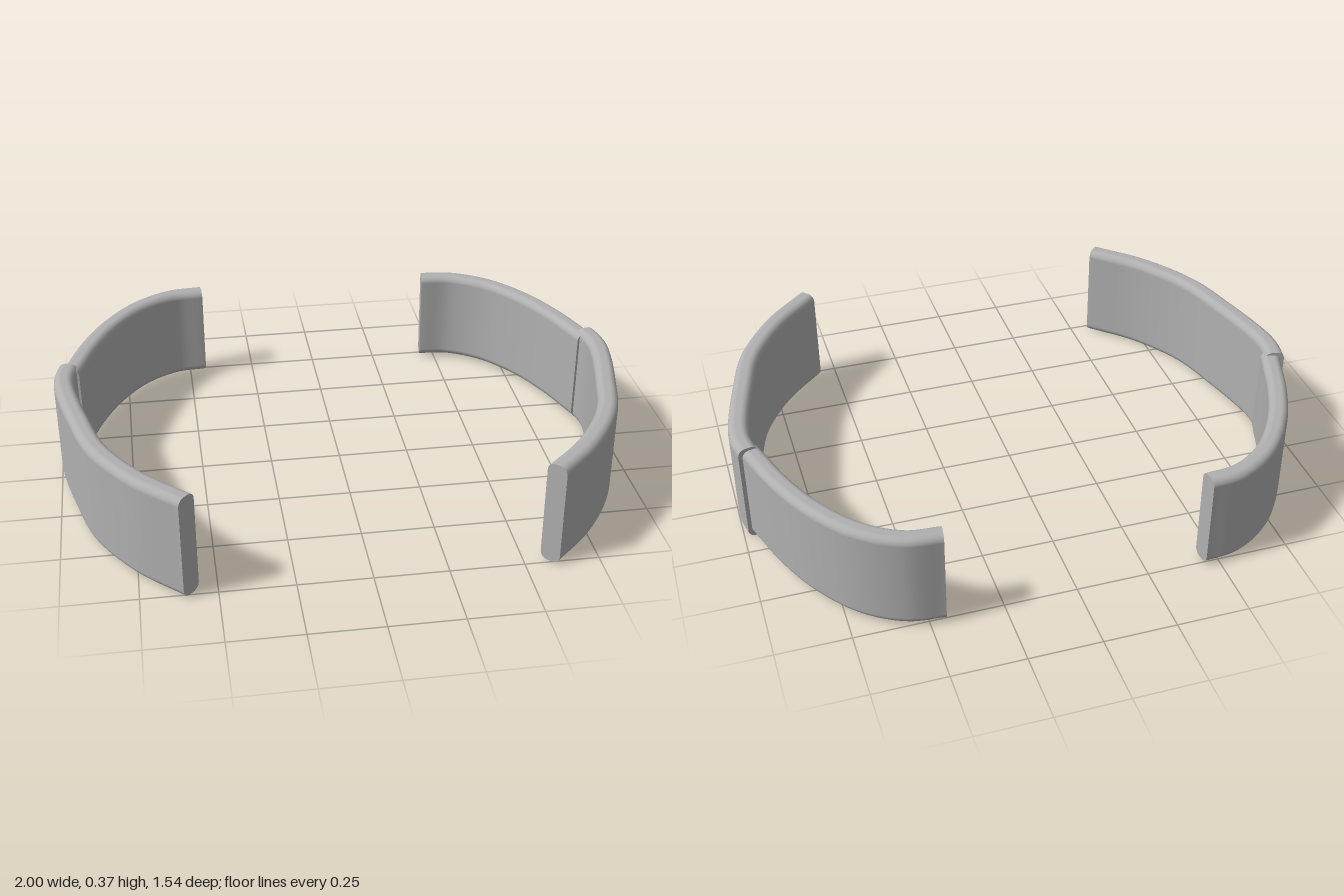
import * as THREE from 'three';

const grey = new THREE.MeshStandardMaterial({ color: 0xb0b0b0 });
grey.name = 'grey';

// Rounded-rectangle outline: positions and outward normals, counter-clockwise
function roundedSection(width, height, radius, steps = 6) {
  const out = [];
  const corners = [[1, 1], [-1, 1], [-1, -1], [1, -1]];
  corners.forEach(([sx, sy], q) => {
    for (let k = 0; k <= steps; k++) {
      const a = (q + k / steps) * Math.PI / 2;
      const nu = Math.cos(a), nv = Math.sin(a);
      out.push({
        u: sx * (width / 2 - radius) + radius * nu,
        v: sy * (height / 2 - radius) + radius * nv,
        nu, nv,
      });
    }
  });
  return out;
}

// Sweep the section along a level path of [x, z] points, with flat end caps
function bandGeometry(path, width, bottom, top, radius, segments = 48) {
  const mid = (bottom + top) / 2;
  const curve = new THREE.CatmullRomCurve3(
    path.map(([x, z]) => new THREE.Vector3(x, mid, z)), false, 'centripetal');
  const section = roundedSection(width, top - bottom, radius);
  const n = section.length;
  const pos = [], nor = [], idx = [];

  const addRing = (t, capSign) => {
    const p = curve.getPointAt(t), d = curve.getTangentAt(t);
    const sx = -d.z, sz = d.x;
    for (const s of section) {
      pos.push(p.x + sx * s.u, p.y + s.v, p.z + sz * s.u);
      if (capSign) nor.push(d.x * capSign, 0, d.z * capSign);
      else nor.push(sx * s.nu, s.nv, sz * s.nu);
    }
  };

  for (let i = 0; i <= segments; i++) addRing(i / segments, 0);
  for (let i = 0; i < segments; i++) {
    for (let j = 0; j < n; j++) {
      const a = i * n + j, b = i * n + (j + 1) % n;
      idx.push(a, a + n, b, b, a + n, b + n);
    }
  }
  const start = (segments + 1) * n, end = start + n;
  addRing(0, -1);
  addRing(1, 1);
  for (let j = 1; j < n - 1; j++) {
    idx.push(start, start + j, start + j + 1);
    idx.push(end, end + j + 1, end + j);
  }

  const g = new THREE.BufferGeometry();
  g.setAttribute('position', new THREE.Float32BufferAttribute(pos, 3));
  g.setAttribute('normal', new THREE.Float32BufferAttribute(nor, 3));
  g.setIndex(idx);
  return g;
}

// Centre lines on the left (+x) side
const frontPath = [
  [0.950, -0.165], [0.963, -0.10], [0.963, -0.04], [0.951, 0.04],
  [0.914, 0.20], [0.855, 0.40], [0.733, 0.595], [0.585, 0.743],
];
const backPath = [
  [0.945, -0.14], [0.925, -0.20], [0.88, -0.334], [0.80, -0.50],
  [0.687, -0.644], [0.559, -0.723], [0.443, -0.738],
];

export function createModel() {
  const model = new THREE.Group();
  model.name = 'splitRing';
  for (const side of [1, -1]) {
    const half = new THREE.Group();
    half.name = side > 0 ? 'leftHalf' : 'rightHalf';
    const mirror = (path) => path.map(([x, z]) => [x * side, z]);

    // Taller front band
    const front = new THREE.Mesh(bandGeometry(mirror(frontPath), 0.071, 0, 0.37, 0.027), grey);
    front.name = 'frontBand';
    // Slightly slimmer back band, tucked into the front one
    const back = new THREE.Mesh(bandGeometry(mirror(backPath), 0.068, 0.01, 0.36, 0.026), grey);
    back.name = 'backBand';

    half.add(front, back);
    model.add(half);
  }
  return model;
}
